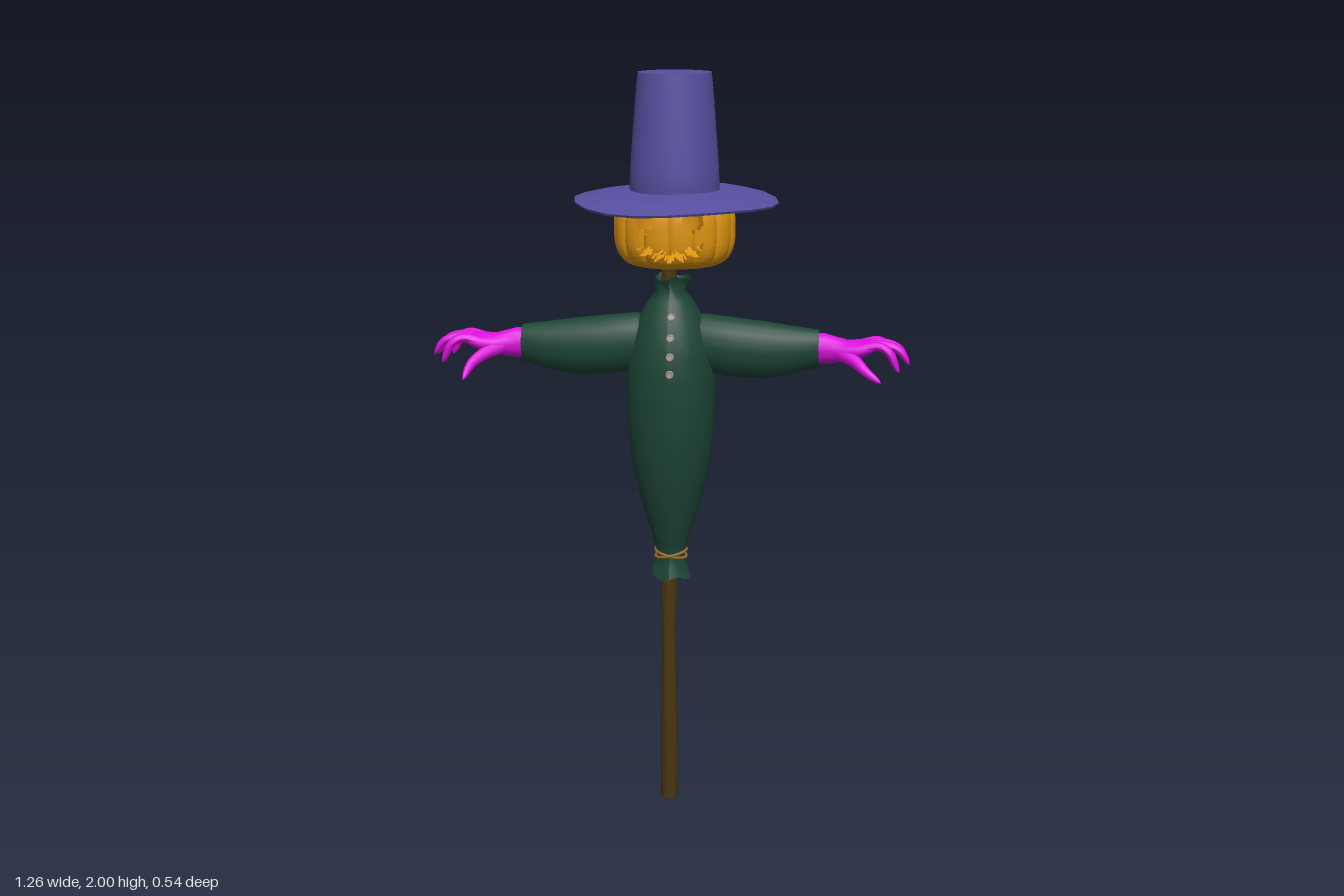
import * as THREE from 'three';
import { toCreasedNormals } from 'three/addons/utils/BufferGeometryUtils.js';

const mat = (color, extra = {}) => new THREE.MeshStandardMaterial({ color, ...extra });
const V = (x, y, z) => new THREE.Vector3(x, y, z);
const lathe = (pts, sides) => new THREE.LatheGeometry(pts.map(([r, y]) => new THREE.Vector2(r, y)), sides);

// Moves every vertex of a geometry by a rule
function warp(geo, rule) {
  const p = geo.attributes.position, v = new THREE.Vector3();
  for (let i = 0; i < p.count; i++) {
    v.fromBufferAttribute(p, i);
    rule(v);
    p.setXYZ(i, v.x, v.y, v.z);
  }
  geo.computeVertexNormals();
  return geo;
}

// Elliptical sections [x, y, z, halfHeight, halfDepth] along x; side -1 mirrors
function loft(sections, side, sides = 16) {
  const pos = [], idx = [], n = sections.length;
  const tri = (a, b, c) => (side > 0 ? idx.push(a, b, c) : idx.push(a, c, b));
  for (const [x, y, z, h, d] of sections)
    for (let j = 0; j < sides; j++) {
      const a = (j / sides) * Math.PI * 2;
      pos.push(side * x, y + h * Math.cos(a), z + d * Math.sin(a));
    }
  for (let i = 0; i < n - 1; i++)
    for (let j = 0; j < sides; j++) {
      const k = (j + 1) % sides, a = i * sides + j, b = i * sides + k;
      tri(a, b, a + sides);
      tri(b, b + sides, a + sides);
    }
  const geo = new THREE.BufferGeometry();
  geo.setAttribute('position', new THREE.Float32BufferAttribute(pos, 3));
  geo.setIndex(idx);
  geo.computeVertexNormals();
  return geo;
}

// Tapered tube with a rounded tip
function finger(points, r0, r1) {
  const curve = new THREE.CatmullRomCurve3(points), seg = 14, radial = 10;
  const geo = new THREE.TubeGeometry(curve, seg, 1, radial);
  const p = geo.attributes.position, v = new THREE.Vector3();
  for (let i = 0; i < p.count; i++) {
    const t = Math.floor(i / (radial + 1)) / seg, c = curve.getPointAt(t);
    const r = (r0 + (r1 - r0) * t) * Math.sqrt(Math.max(0, 1 - t ** 10));
    v.fromBufferAttribute(p, i).sub(c).multiplyScalar(r).add(c);
    p.setXYZ(i, v.x, v.y, v.z);
  }
  geo.computeVertexNormals();
  return geo;
}

// Hollow ribbed pumpkin with carved eyes and a jagged mouth
function pumpkinGeometry() {
  const N = 140, M = 70, pos = [], idx = [];
  const point = (i, j, k) => {
    const u = (i / N) * Math.PI * 2, v = (j / M) * Math.PI, s = Math.sin(v), c = Math.cos(v);
    const rib = 1 - 0.06 * (1 - Math.sqrt(Math.abs(Math.sin(7 * u)))) * s;
    const y = 0.118 * Math.sign(c) * Math.abs(c) ** 0.7 * (1 - 0.45 * (1 - s) ** 2);
    const r = Math.max(s, 0) ** 0.75 * rib * k;
    return [0.16 * r * Math.sin(u), y * k, 0.15 * r * Math.cos(u)];
  };
  const carved = (i, j) => {
    const [x, y, z] = point(i + 0.5, j + 0.5, 1);
    if (z < 0) return false;
    const eye = Math.hypot(Math.abs(x) - 0.06, y - 0.035) < 0.027;
    const zig = 0.009 * (Math.abs(((x / 0.035 + 10.5) % 1) - 0.5) * 4 - 1);
    const mouth = Math.abs(x) < 0.085 && Math.abs(y + 0.055 - 2.8 * x * x - zig) < 0.011;
    return eye || mouth;
  };
  for (const k of [1, 0.87])
    for (let j = 0; j <= M; j++)
      for (let i = 0; i < N; i++) pos.push(...point(i, j, k));
  const id = (i, j) => j * N + ((i + N) % N), inner = (M + 1) * N;
  const wall = (a, b) => idx.push(a, b, b + inner, a, b + inner, a + inner);
  for (let j = 0; j < M; j++)
    for (let i = 0; i < N; i++) {
      const a = id(i, j), b = id(i, j + 1), c = id(i + 1, j + 1), d = id(i + 1, j);
      if (!carved(i, j)) {
        idx.push(a, b, d, b, c, d);
        idx.push(a + inner, d + inner, b + inner, b + inner, d + inner, c + inner);
        continue;
      }
      if (!carved(i - 1, j)) wall(a, b);
      if (!carved(i + 1, j)) wall(c, d);
      if (!carved(i, j - 1)) wall(d, a);
      if (!carved(i, j + 1)) wall(b, c);
    }
  const geo = new THREE.BufferGeometry();
  geo.setAttribute('position', new THREE.Float32BufferAttribute(pos, 3));
  geo.setIndex(idx);
  return toCreasedNormals(geo, 0.7);
}

export function createModel() {
  const model = new THREE.Group();
  model.name = 'scarecrow';
  const add = (name, geo, material, x = 0, y = 0, z = 0) => {
    const mesh = new THREE.Mesh(geo, material);
    mesh.name = name;
    mesh.position.set(x, y, z);
    model.add(mesh);
    return mesh;
  };
  const wood = mat(0x4a3510), cloth = mat(0x1c4435, { side: THREE.DoubleSide });
  const glove = mat(0xdd10dd), felt = mat(0x574fa0), feltFlat = mat(0x574fa0, { flatShading: true });
  const rope = mat(0x9a6a28), buttonMat = mat(0x9a938c);
  const orange = mat(0xdb9210, { side: THREE.DoubleSide });

  // Pole
  const poleProfile = [[0, 0], [0.024, 0], [0.023, 0.2], [0.02, 0.5], [0.022, 0.66], [0.021, 1.53], [0, 1.53]];
  add('pole', toCreasedNormals(lathe(poleProfile, 12), 0.8), wood, -0.002);

  // Sack-like shirt, gathered at both ends with wavy hems
  const shirt = [[0.054, 0.65], [0.046, 0.675], [0.036, 0.71], [0.046, 0.745], [0.072, 0.83], [0.106, 0.96],
    [0.117, 1.08], [0.119, 1.2], [0.112, 1.27], [0.1, 1.32], [0.081, 1.37], [0.058, 1.41], [0.037, 1.437], [0.052, 1.47]];
  add('shirt', warp(lathe(shirt, 20), v => {
    const a = Math.atan2(v.x, v.z);
    if (v.y < 0.68 || v.y > 1.46) {
      const f = 1 + 0.08 * Math.cos(5 * a);
      v.x *= f; v.z *= f; v.y += 0.006 * Math.sin(4 * a);
    }
  }), cloth, 0.003, 0, 0.002);

  // Rope tied around the waist gather
  for (const tilt of [-0.22, 0.22]) {
    const ring = add('rope', new THREE.TorusGeometry(0.043, 0.004, 8, 28), rope, 0.003, 0.713, 0.002);
    ring.rotation.set(Math.PI / 2, tilt, 0);
  }

  // Buttons down the chest
  for (const y of [1.375, 1.323, 1.275, 1.23]) {
    const i = shirt.findIndex(p => p[1] > y), [r0, y0] = shirt[i - 1], [r1, y1] = shirt[i];
    const r = r0 + ((r1 - r0) * (y - y0)) / (y1 - y0);
    const slope = Math.atan2(r1 - r0, y1 - y0);
    const disc = add('button', new THREE.CylinderGeometry(0.008, 0.008, 0.006, 12), buttonMat, 0.012, y, r + 0.002);
    const rim = add('buttonRim', new THREE.TorusGeometry(0.008, 0.003, 6, 14), buttonMat, 0.012, y, r + 0.004);
    disc.rotation.x = Math.PI / 2 + slope;
    rim.rotation.x = slope;
  }

  for (const side of [1, -1]) {
    const label = side > 0 ? 'left' : 'right';
    // Sleeve, its last sections turning into the cuff
    add(label + 'Sleeve', loft([[0.04, 1.3, 0, 0.06, 0.04], [0.09, 1.295, 0, 0.078, 0.055], [0.17, 1.284, 0, 0.08, 0.06],
      [0.25, 1.278, 0, 0.077, 0.056], [0.32, 1.279, 0, 0.066, 0.047], [0.395, 1.285, 0, 0.05, 0.038],
      [0.392, 1.285, 0, 0.044, 0.032], [0.36, 1.285, 0, 0.042, 0.03]], side, 20), cloth);

    // Gloved hand
    add(label + 'Palm', loft([[0.36, 1.285, 0, 0.04, 0.029], [0.41, 1.285, 0, 0.041, 0.032], [0.44, 1.283, 0.002, 0.035, 0.034],
      [0.47, 1.283, 0.005, 0.027, 0.043], [0.505, 1.287, 0.003, 0.024, 0.053], [0.53, 1.293, 0, 0.018, 0.052],
      [0.545, 1.294, 0, 0.008, 0.046], [0.548, 1.294, 0, 0, 0]], side), glove);
    const fingers = [[0.605, 1.233, 0.05], [0.632, 1.25, 0.022], [0.63, 1.245, -0.012], [0.598, 1.238, -0.05]];
    fingers.forEach(([x, y, z], i) => {
      const base = 0.037 - i * 0.025;
      add(label + 'Finger', finger([V(side * 0.5, 1.289, base), V(side * 0.55, 1.301, base * 1.1),
        V(side * (x - 0.028), 1.289, z), V(side * x, y, z)], 0.015, 0.009), glove);
    });
    const tip = side > 0 ? V(0.56, 1.215, 0.1) : V(-0.535, 1.205, 0.125);
    add(label + 'Thumb', finger([V(side * 0.445, 1.28, 0.012), V(side * 0.49, 1.262, 0.05),
      V(side * 0.52, 1.24, 0.08), tip], 0.023, 0.008), glove);
  }

  // Head
  add('pumpkinHead', pumpkinGeometry(), orange, 0.012, 1.597, -0.002);

  // Hat: drooping faceted brim and tapered crown
  add('hatBrim', warp(lathe([[0.1, 1.675], [0.2, 1.677], [0.265, 1.662], [0.268, 1.668], [0.2, 1.688], [0.1, 1.702]], 20), v => {
    const r = Math.hypot(v.x, v.z), a = Math.atan2(v.x, v.z);
    v.y += (r / 0.268) ** 2 * (0.005 * Math.sin(3 * a) - 0.008 * Math.cos(a) + 0.004);
  }), feltFlat, 0.016, 0, -0.002);
  add('hatCrown', toCreasedNormals(lathe([[0.112, 1.675], [0.118, 1.7], [0.116, 1.75], [0.111, 1.82], [0.105, 1.9],
    [0.099, 1.97], [0.096, 2], [0, 2]], 32), 0.7), felt, 0.012);

  return model;
}
